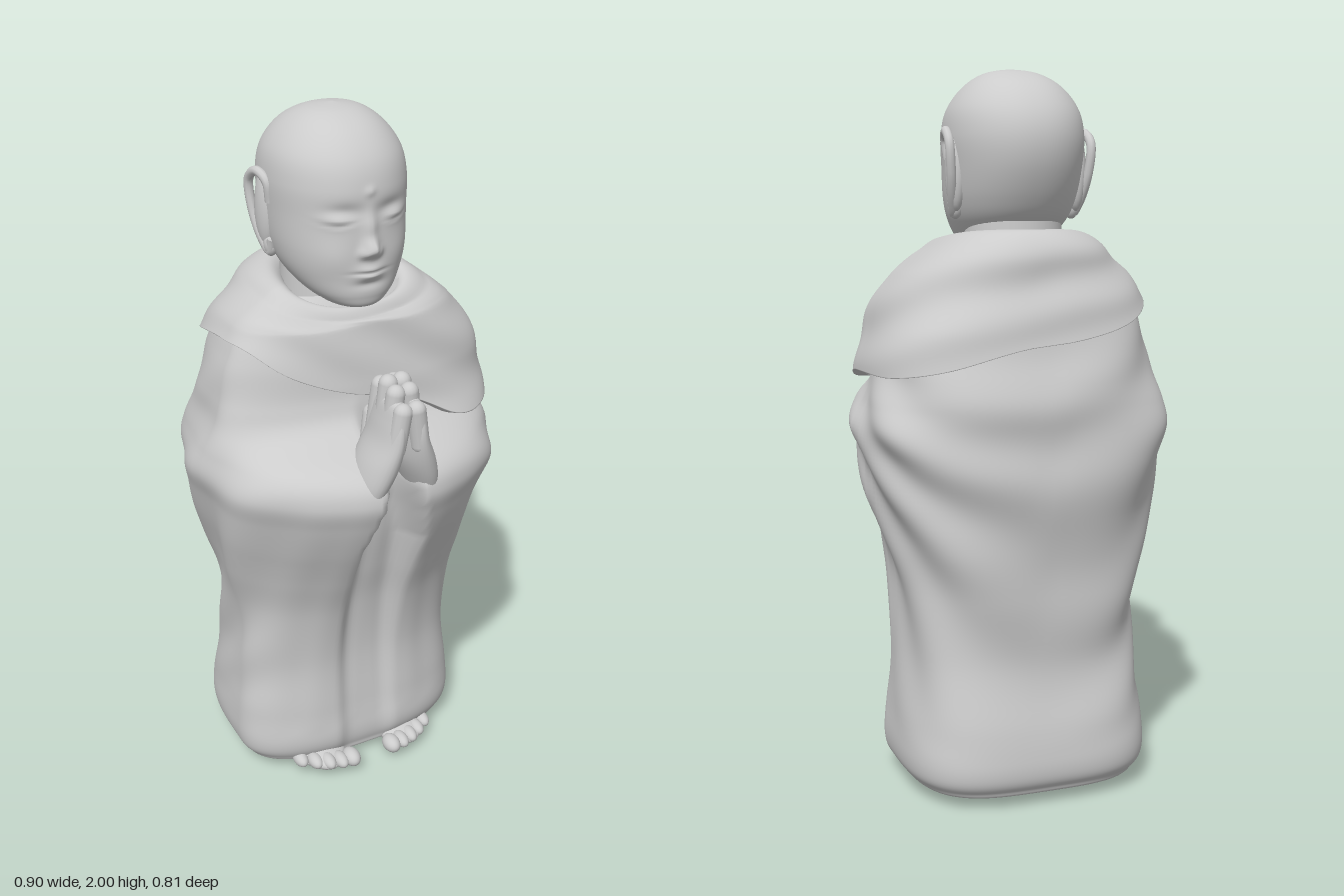
import * as THREE from 'three';

const { sin, cos, abs, sign, exp, max, min, PI } = Math;
const material = new THREE.MeshStandardMaterial({ color: 0xcccccc, side: THREE.DoubleSide });
const bump = (a, b) => exp(-a * a - b * b);

// Smooth interpolation through table rows; t counts rows
function sample(rows, t) {
  const n = rows.length - 1, i = min(Math.floor(max(t, 0)), n - 1), f = t - i;
  const a = rows[max(i - 1, 0)], b = rows[i], c = rows[i + 1], d = rows[min(i + 2, n)];
  return b.map((q, k) => q + 0.5 * f * (c[k] - a[k] + f * (2 * a[k] - 5 * q + 4 * c[k] - d[k]
    + f * (3 * (q - c[k]) + d[k] - a[k]))));
}

// Skin of closed rings: fn(angle, v) gives a point, angle 0 is the front, v rises from 0 to 1
function loft(cols, rows, fn) {
  const pos = [], idx = [];
  for (let j = 0; j <= rows; j++)
    for (let i = 0; i < cols; i++) pos.push(...fn(i / cols * 2 * PI, j / rows));
  for (let j = 0; j < rows; j++)
    for (let i = 0; i < cols; i++) {
      const k = (i + 1) % cols, a = j * cols + i, b = j * cols + k, c = b + cols, d = a + cols;
      idx.push(a, b, c, a, c, d);
    }
  const g = new THREE.BufferGeometry();
  g.setAttribute('position', new THREE.Float32BufferAttribute(pos, 3));
  g.setIndex(idx);
  g.computeVertexNormals();
  return g;
}

const power = (v, n) => sign(v) * abs(v) ** (2 / n);

function add(parent, name, geometry) {
  const m = new THREE.Mesh(geometry, material);
  m.name = name;
  parent.add(m);
  return m;
}

function ball(parent, name, p, s) {
  const m = add(parent, name, new THREE.SphereGeometry(1, 24, 16));
  m.position.set(...p);
  m.scale.set(...s);
  return m;
}

function capsule(parent, name, a, b, r) {
  const A = new THREE.Vector3(...a), B = new THREE.Vector3(...b), d = B.clone().sub(A);
  const m = add(parent, name, new THREE.CapsuleGeometry(r, d.length(), 6, 14));
  m.position.copy(A).add(B).multiplyScalar(0.5);
  m.quaternion.setFromUnitVectors(new THREE.Vector3(0, 1, 0), d.normalize());
  return m;
}

// Robe: y, half width, front z, back z, depth of the recess in the middle of the front
const robeRows = [
  [0.018, 0, 0, 0, 0], [0.028, 0.28, 0.13, -0.32, 0], [0.055, 0.34, 0.16, -0.375, 0.01],
  [0.11, 0.36, 0.178, -0.394, 0.02], [0.22, 0.354, 0.172, -0.381, 0.024],
  [0.4, 0.338, 0.17, -0.35, 0.03], [0.58, 0.343, 0.205, -0.362, 0.045],
  [0.72, 0.372, 0.262, -0.38, 0.065], [0.85, 0.405, 0.325, -0.39, 0.095],
  [0.95, 0.425, 0.367, -0.396, 0.12], [1.03, 0.442, 0.388, -0.398, 0.13],
  [1.1, 0.42, 0.35, -0.394, 0.12], [1.17, 0.392, 0.205, -0.38, 0.03],
  [1.24, 0.378, 0.16, -0.362, 0], [1.35, 0.348, 0.145, -0.335, 0],
  [1.45, 0.295, 0.12, -0.3, 0], [1.52, 0.18, 0.08, -0.22, 0],
];

function robePoint(a, v) {
  const [y, w, zf, zb, dip] = sample(robeRows, v * (robeRows.length - 1));
  const low = max(0, 1 - y / 0.8), front = cos(a) > 0, n = front ? 2 + 0.4 * low : 2.9 + 0.7 * low;
  let x = w * power(sin(a), n), z = (front ? zf : -zb) * power(cos(a), n);
  // slanting folds on the sides and back, upright ones on the front
  const body = max(0, sin(PI * min(1, max(0, (y - 0.15) / 1.25))));
  const side = 1 - max(0, cos(a)) ** 2;
  const slant = sin(22 * (y - 1.1 * z - 0.25 * abs(x)) + 2 * sin(3 * x + 5 * y));
  const upright = sin(46 * abs(x) + 2.5 * y + x) * min(1, max(0, 1.1 - y));
  const fold = 0.009 * body * slant * side + 0.009 * Math.sqrt(body) * upright * (1 - side);
  const k = w > 0.1 ? 1 + fold / 0.36 : 1;
  x *= k;
  z *= k;
  const gap = 0.08 - 0.04 * min(1, max(0, (y - 0.85) / 0.2)); // closes to an arch under the hands
  if (front) z -= dip * exp(-((x / gap) ** 6));
  return [x, y, z];
}

// Shawl: y, half width, front z, back z, from the hem over the collar and down inside it
const shawlRows = [
  [1.1, 0.435, 0.27, -0.393], [1.2, 0.432, 0.203, -0.392], [1.3, 0.405, 0.184, -0.374],
  [1.4, 0.36, 0.168, -0.352], [1.5, 0.288, 0.15, -0.327], [1.565, 0.205, 0.125, -0.28],
  [1.55, 0.155, 0.095, -0.215], [1.45, 0.12, 0.05, -0.17],
];
// Hem height every 30 degrees, starting at the front
const hem = [1.26, 1.16, 1.155, 1.185, 1.185, 1.21, 1.27, 1.32, 1.375, 1.415, 1.405, 1.34, 1.26, 1.16]
  .map(h => [h]);

function shawlPoint(a, v) {
  const start = (sample(hem, a / (2 * PI) * 12)[0] - 1.1) * 10;
  const f = max(0, (v - 0.03) / 0.97), t = start + (7 - start) * f;
  let [y, w, zf, zb] = sample(shawlRows, t);
  const up = min(1, max(0, t - 2) / 3), n = cos(a) > 0 ? 2.6 - 0.4 * up : 2.9 - 0.7 * up;
  const x = w * power(sin(a), n), z = (cos(a) > 0 ? zf : -zb) * power(cos(a), n);
  const fold = 0.028 * sin(34 * (y + 0.4 * x) + 2 * sin(a * 2)) * sin(PI * min(1, f * 1.25));
  const k = (v === 0 ? 0.92 : 1) + fold;
  y -= 0.075 * ((1 + cos(a)) / 2) ** 1.6 * min(1, max(0, t - 3.5));
  return [x * k, y, z * k];
}

// Head: y, half width, front z, back z
const headRows = [
  [1.5, 0, 0.05, 0.05], [1.497, 0.06, 0.135, -0.03], [1.53, 0.115, 0.157, -0.11],
  [1.585, 0.157, 0.16, -0.2], [1.65, 0.178, 0.162, -0.25], [1.74, 0.187, 0.16, -0.287],
  [1.82, 0.19, 0.158, -0.294], [1.89, 0.176, 0.136, -0.27], [1.95, 0.133, 0.085, -0.215],
  [1.987, 0.075, 0.018, -0.135], [2, 0, -0.055, -0.055],
];

function headPoint(a, v) {
  const [y, w, zf, zb] = sample(headRows, v * (headRows.length - 1));
  const x = w * power(sin(a), 2.15), s = abs(x);
  let z = (zf + zb) / 2 + (zf - zb) / 2 * power(cos(a), 2.15);
  if (cos(a) > 0) {
    z += 0.035 * bump(x / 0.019, (y - 1.667) / 0.024) + 0.013 * bump(x / 0.018, (y - 1.72) / 0.04); // nose
    z += 0.013 * bump((s - 0.022) / 0.012, (y - 1.655) / 0.013); // nostrils
    z -= 0.011 * bump((s - 0.065) / 0.045, (y - 1.762) / 0.022); // eye sockets
    z += 0.011 * bump((s - 0.085) / 0.036, (y - 1.745) / 0.018); // closed lids
    z -= 0.007 * bump((s - 0.085) / 0.036, (y - 1.731 - 3 * (s - 0.08) ** 2) / 0.005);
    z += 0.006 * bump((s - 0.1) / 0.05, (y - 1.64) / 0.05); // cheeks
    z += 0.017 * bump(x / 0.034, (y - 1.6) / 0.022); // lips
    z -= 0.011 * bump(x / 0.04, (y - 1.601) / 0.005);
    z -= 0.006 * bump(x / 0.04, (y - 1.568) / 0.012);
    z += 0.006 * bump(x / 0.012, (y - 1.815) / 0.012); // forehead dot
  }
  return [x, y, z];
}

// Palm and wrist: y, centre x, half thickness, centre z, half depth
const palmRows = [
  [0.98, 0.095, 0, 0.275, 0], [0.99, 0.095, 0.03, 0.275, 0.07], [1.06, 0.077, 0.047, 0.292, 0.088],
  [1.13, 0.055, 0.05, 0.307, 0.092], [1.2, 0.037, 0.037, 0.318, 0.09],
  [1.26, 0.03, 0.028, 0.322, 0.084], [1.31, 0.024, 0.02, 0.322, 0.07], [1.32, 0.022, 0, 0.322, 0],
];

function hand(s) {
  const g = new THREE.Group();
  g.name = s > 0 ? 'leftHand' : 'rightHand';
  add(g, 'palm', loft(28, 36, (a, v) => {
    const [y, x, w, z, d] = sample(palmRows, v * (palmRows.length - 1));
    return [s * x + w * sin(a), y, z + d * cos(a)];
  }));
  [1.293, 1.33, 1.344, 1.325].forEach((top, i) => {
    const z = 0.382 - 0.04 * i;
    capsule(g, 'finger', [s * 0.036, 1.19, z - 0.004], [s * 0.02, top, z], 0.026);
  });
  capsule(g, 'thumb', [s * 0.045, 1.12, 0.24], [s * 0.022, 1.225, 0.218], 0.025);
  return g;
}

function ear(s) {
  const g = new THREE.Group();
  g.name = s > 0 ? 'leftEar' : 'rightEar';
  ball(g, 'earBody', [s * 0.174, 1.725, -0.105], [0.028, 0.11, 0.042]);
  const path = [
    [0.182, 1.755, -0.06], [0.19, 1.81, -0.06], [0.2, 1.83, -0.1], [0.204, 1.8, -0.144],
    [0.198, 1.72, -0.142], [0.186, 1.645, -0.112], [0.174, 1.61, -0.085], [0.175, 1.65, -0.07],
  ].map(([x, y, z]) => new THREE.Vector3(s * x, y, z));
  add(g, 'earRim', new THREE.TubeGeometry(new THREE.CatmullRomCurve3(path), 48, 0.013, 10));
  ball(g, 'earlobe', [s * 0.17, 1.63, -0.088], [0.02, 0.035, 0.025]);
  return g;
}

function foot(s) {
  const g = new THREE.Group();
  g.name = s > 0 ? 'leftFoot' : 'rightFoot';
  ball(g, 'instep', [s * 0.135, 0.04, 0.035], [0.09, 0.04, 0.18]);
  for (let i = 0; i < 5; i++) {
    const r = i ? 0.021 : 0.026;
    ball(g, 'toe', [s * (0.07 + 0.036 * i), 0.048, 0.2 - 0.004 * i * i], [r, r, 0.037]);
  }
  return g;
}

export function createModel() {
  const model = new THREE.Group();
  model.name = 'prayingFigure';
  add(model, 'robe', loft(180, 130, robePoint));
  add(model, 'shawl', loft(120, 60, shawlPoint));
  add(model, 'head', loft(144, 140, headPoint));
  const neck = add(model, 'neck', new THREE.CylinderGeometry(0.135, 0.145, 0.18, 40));
  neck.position.set(0, 1.5, -0.075);
  for (const s of [1, -1]) model.add(hand(s), ear(s), foot(s));
  return model;
}
